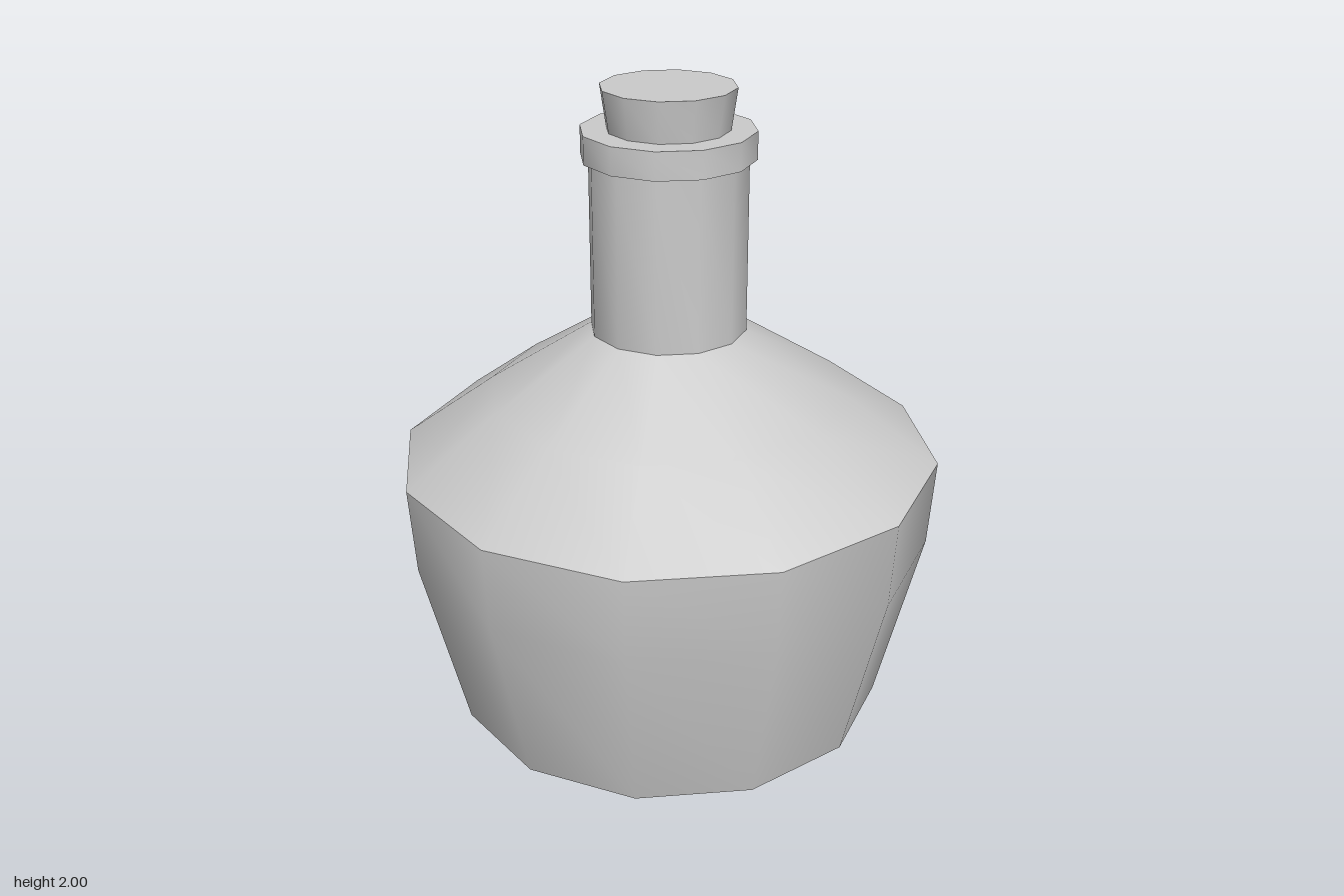
import * as THREE from 'three';
import { toCreasedNormals } from 'three/addons/utils/BufferGeometryUtils.js';

const SIDES = 12;

// Turned part from [radius, height] pairs, listed from the bottom up
function turned(name, profile, material) {
  const points = profile.map(([r, y]) => new THREE.Vector2(r, y));
  const lathe = new THREE.LatheGeometry(points, SIDES);
  const mesh = new THREE.Mesh(toCreasedNormals(lathe, THREE.MathUtils.degToRad(40)), material);
  mesh.name = name;
  return mesh;
}

export function createModel() {
  const group = new THREE.Group();
  group.name = 'bottle';
  const material = new THREE.MeshStandardMaterial({ color: 0xcccccc });

  // Closed base, flared sides, sloping shoulder and straight neck
  group.add(turned('body', [
    [0, 0], [0.687, 0], [0.826, 0.57], [0.845, 0.845],
    [0.56, 1.053], [0.24, 1.257], [0.24, 1.79],
  ], material));

  // Collar around the mouth
  group.add(turned('lip', [
    [0.24, 1.79], [0.263, 1.79], [0.263, 1.875], [0, 1.875],
  ], material));

  // Tapered stopper
  group.add(turned('cork', [
    [0.184, 1.87], [0.203, 2], [0, 2],
  ], material));

  return group;
}
